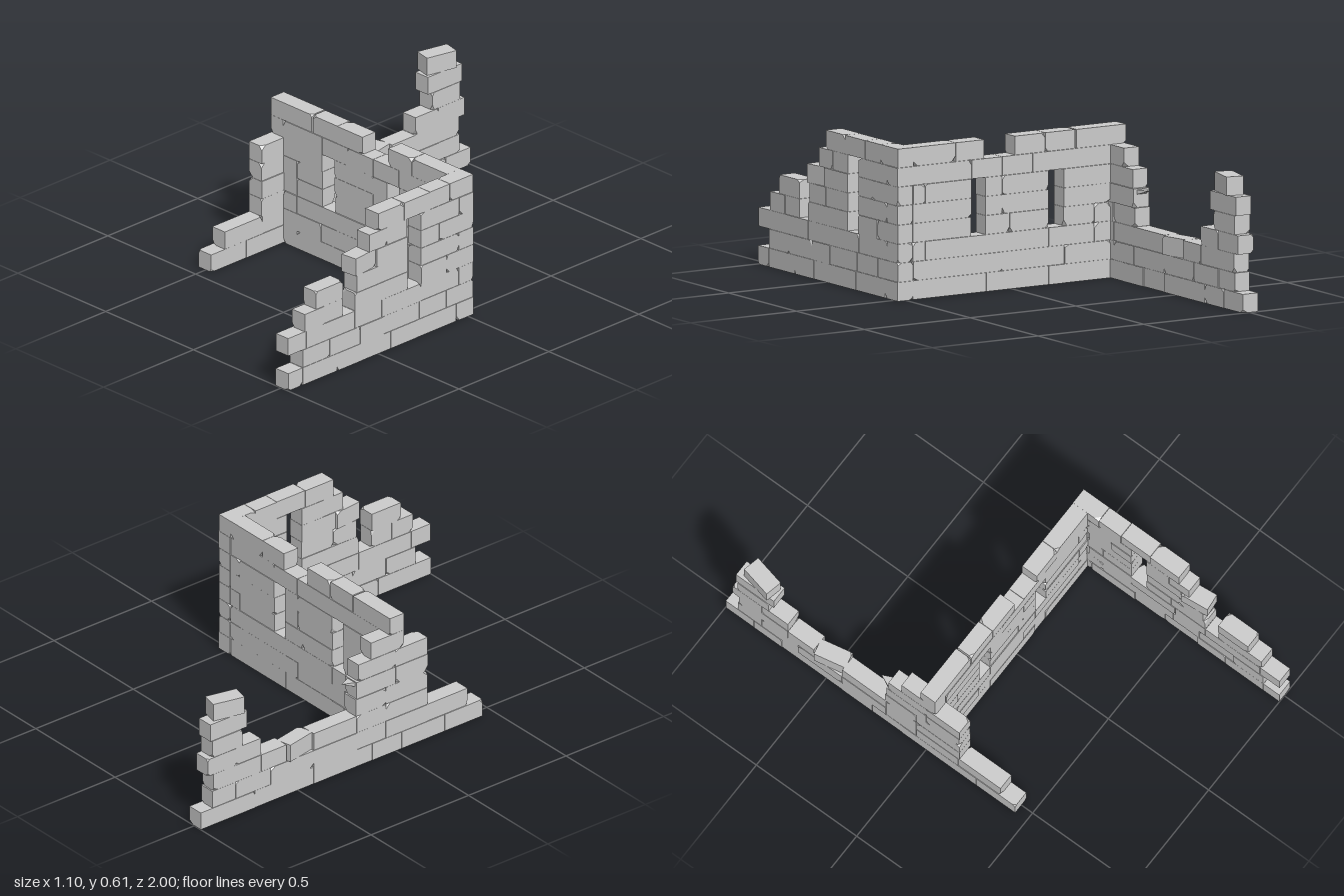
import * as THREE from 'three';
import { ConvexGeometry } from 'three/addons/geometries/ConvexGeometry.js';

const COURSE = 0.077, THICK = 0.072;

let seed = 7;
const rand = () => (seed = (seed * 16807) % 2147483647) / 2147483647;

const material = new THREE.MeshStandardMaterial({ color: 0xcccccc, flatShading: true });

// Box whose corners are knocked off here and there
function chippedBlock(w, h, d, chance) {
  const points = [];
  for (const sx of [-1, 1]) for (const sy of [-1, 1]) for (const sz of [-1, 1]) {
    const corner = new THREE.Vector3(sx * w / 2, sy * h / 2, sz * d / 2);
    if (rand() > chance) { points.push(corner); continue; }
    const cut = () => 0.008 + rand() * 0.016;
    points.push(corner.clone().setX(corner.x - sx * cut()));
    points.push(corner.clone().setY(corner.y - sy * cut()));
    points.push(corner.clone().setZ(corner.z - sz * cut()));
  }
  return new ConvexGeometry(points);
}

// Courses hold runs; a run lists the joints between neighbouring bricks.
// Bricks are laid along local x; "turned" holds bricks that have slipped round.
function buildWall(name, courses, turned = {}) {
  const wall = new THREE.Group();
  wall.name = name;
  courses.forEach((runs, row) => runs.forEach((run) => {
    for (let i = 0; i < run.length - 1; i++) {
      const a = run[i], b = run[i + 1];
      const loose = i === 0 || i === run.length - 2;
      const geometry = chippedBlock(Math.abs(b - a) - 0.0015, COURSE - 0.001,
        THICK + (rand() - 0.5) * 0.005, loose ? 0.3 : 0.1);
      const brick = new THREE.Mesh(geometry, material);
      brick.name = 'brick';
      brick.position.set((a + b) / 2, (row + 0.5) * COURSE, (rand() - 0.5) * 0.003);
      brick.rotation.y = turned[`${row}:${a}`] || 0;
      wall.add(brick);
    }
  }));
  return wall;
}

export function createModel() {
  const ruin = new THREE.Group();
  ruin.name = 'ruinedWalls';

  // Cross wall with two window slits and a gap in the top course
  const crossWall = buildWall('crossWall', [
    [[-0.467, -0.39, -0.25, -0.175, 0.12, 0.19, 0.467]],
    [[-0.467, -0.25, 0.045, 0.41, 0.467]],
    [[-0.467, -0.39, -0.175, 0.12, 0.41, 0.467]],
    [[-0.467, -0.39, -0.245], [-0.175, 0.01, 0.125], [0.19, 0.41, 0.467]],
    [[-0.467, -0.39, -0.245], [-0.175, 0.045, 0.125], [0.19, 0.467]],
    [[-0.467, -0.245], [-0.175, 0.045, 0.125], [0.19, 0.41, 0.467]],
    [[-0.467, -0.245, -0.1, 0.045, 0.19, 0.467]],
    [[-0.54, -0.305], [-0.3, -0.16, -0.015], [0.13, 0.265, 0.467]],
  ]);
  crossWall.position.z = 0.008;
  ruin.add(crossWall);

  // Side walls: joints are z values, so the wall is turned to run along z
  const leftWall = buildWall('leftSideWall', [
    [[-0.03, 0.065, 0.28, 0.43, 0.59, 0.73, 0.92, 1]],
    [[-0.03, 0.12, 0.27, 0.47, 0.6, 0.77, 0.92]],
    [[-0.03, 0.05, 0.26, 0.48, 0.63, 0.9, 1]],
    [[-0.03, 0.12, 0.262], [0.337, 0.46, 0.63], [0.695, 0.8, 0.91]],
    [[-0.03, 0.05, 0.262], [0.337, 0.5, 0.62], [0.695, 0.845]],
    [[-0.03, 0.16, 0.262], [0.337, 0.51, 0.635]],
    [[-0.03, 0.05, 0.262], [0.337, 0.45, 0.55]],
    [[-0.03, 0.1, 0.21, 0.355, 0.5]],
  ].map((runs) => runs.map((run) => run.map((z) => -z))), { '5:-0.51': 0.1 });
  leftWall.position.x = 0.504;

  const rightWall = buildWall('rightSideWall', [
    [[-1, -0.86, -0.72, -0.42, -0.27, -0.12, 0.03, 0.25, 0.445]],
    [[-0.94, -0.82, -0.64, -0.42, -0.2, -0.05, 0.16, 0.37]],
    [[-0.935, -0.69, -0.56, -0.42, -0.2, -0.05, 0.165]],
    [[-0.965, -0.82, -0.69], [-0.205, -0.05, 0.165]],
    [[-0.94, -0.785], [-0.2, 0, 0.165]],
    [[-0.95, -0.76], [-0.19, 0, 0.165]],
    [[-0.915, -0.775], [-0.125, 0.044]],
  ].map((runs) => runs.map((run) => run.map((z) => -z))), { '2:0.56': 0.2, '6:0.915': -0.22 });
  rightWall.position.x = -0.504;

  for (const wall of [leftWall, rightWall]) {
    wall.rotation.y = Math.PI / 2;
    ruin.add(wall);
  }

  // Thin splinter left on the broken edge of the right wall
  const splinter = new THREE.Mesh(new ConvexGeometry([
    [-0.53, 0.38, -0.195], [-0.48, 0.38, -0.195], [-0.505, 0.379, -0.25],
    [-0.53, 0.36, -0.195], [-0.48, 0.36, -0.195],
  ].map((p) => new THREE.Vector3(...p))), material);
  splinter.name = 'splinter';
  ruin.add(splinter);

  return ruin;
}
